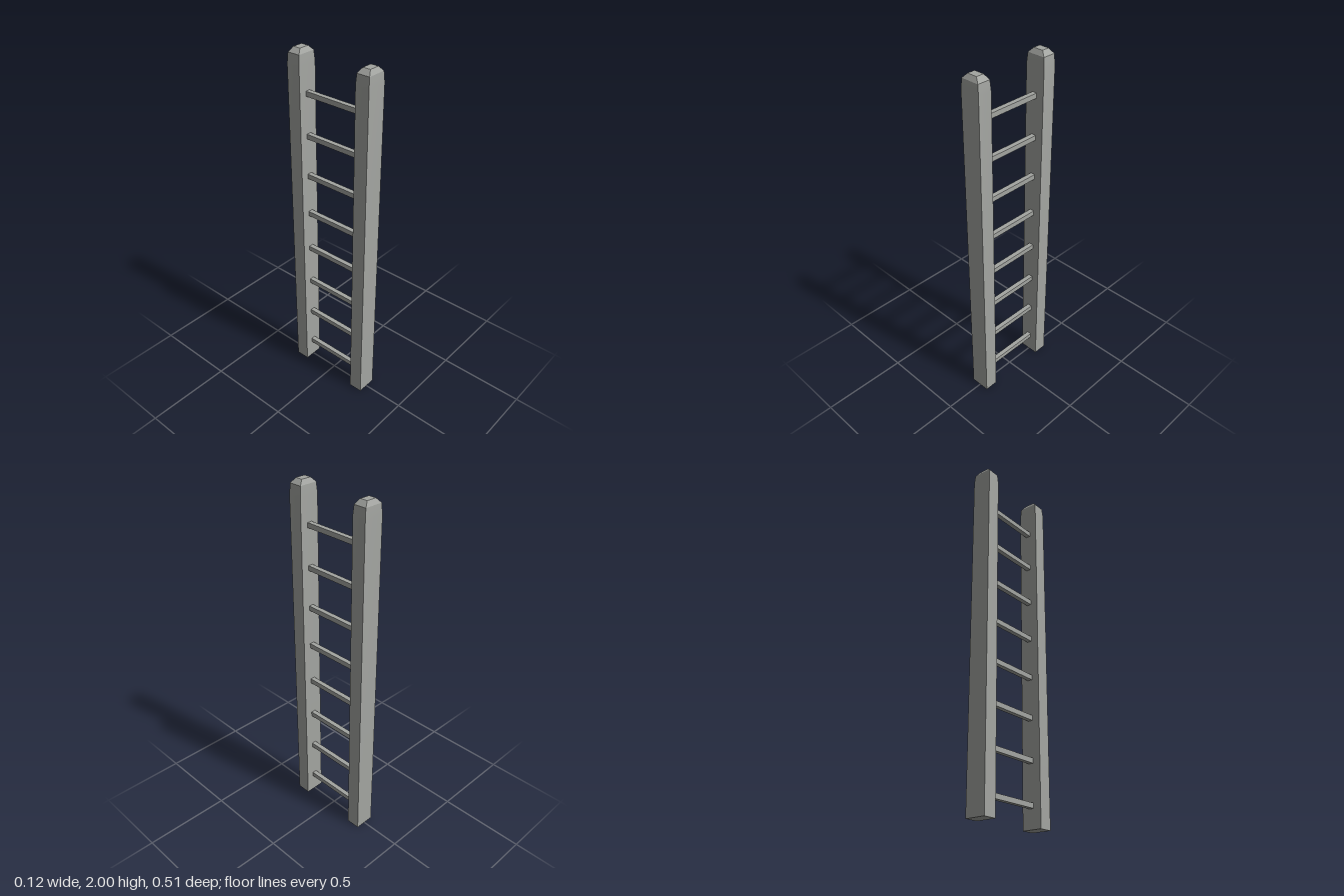
import * as THREE from 'three';
import { toCreasedNormals } from 'three/addons/utils/BufferGeometryUtils.js';

// Rectangular loft: rings of [y, half width x, half depth z], capped at both ends
function loft(rings) {
  const pos = [], idx = [];
  for (const [y, hx, hz] of rings) {
    pos.push(-hx, y, hz, hx, y, hz, hx, y, -hz, -hx, y, -hz);
  }
  for (let r = 0; r < rings.length - 1; r++) {
    for (let i = 0; i < 4; i++) {
      const a = r * 4 + i, b = r * 4 + (i + 1) % 4;
      idx.push(a, b, b + 4, a, b + 4, a + 4);
    }
  }
  const t = (rings.length - 1) * 4;
  idx.push(0, 2, 1, 0, 3, 2, t, t + 1, t + 2, t, t + 2, t + 3);
  const g = new THREE.BufferGeometry();
  g.setAttribute('position', new THREE.Float32BufferAttribute(pos, 3));
  g.setIndex(idx);
  return toCreasedNormals(g, 0.45);
}

export function createModel() {
  const group = new THREE.Group();
  const grey = new THREE.MeshStandardMaterial({ color: 0xa3a5a1 });
  grey.name = 'weathered grey';

  // Two upright rails with chamfered tops
  const railGeo = loft([
    [0, 0.058, 0.04],
    [1.92, 0.058, 0.04],
    [1.975, 0.053, 0.037],
    [2, 0.029, 0.022],
  ]);
  for (const side of [1, -1]) {
    const rail = new THREE.Mesh(railGeo, grey);
    rail.name = side > 0 ? 'frontRail' : 'backRail';
    rail.position.z = side * 0.217;
    group.add(rail);
  }

  // Eight evenly spaced square rungs
  const rungGeo = new THREE.BoxGeometry(0.027, 0.028, 0.37);
  for (let i = 0; i < 8; i++) {
    const rung = new THREE.Mesh(rungGeo, grey);
    rung.name = `rung${i + 1}`;
    rung.position.y = 0.12 + i * 0.2353;
    group.add(rung);
  }
  return group;
}
